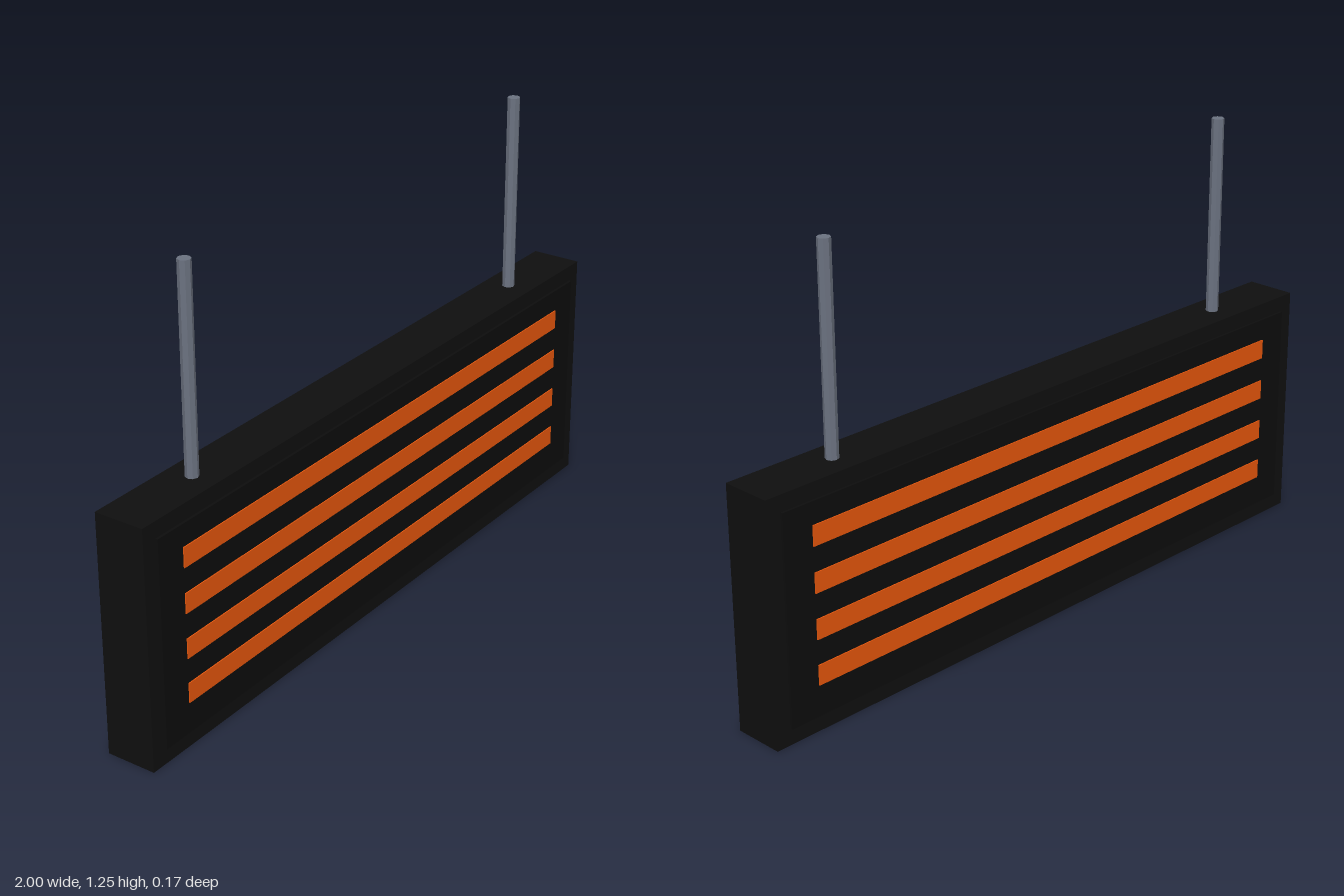
import * as THREE from 'three';

export function createModel() {
  const model = new THREE.Group();
  model.name = 'hangingDisplayBoard';

  const material = (name, color) => {
    const m = new THREE.MeshStandardMaterial({ color });
    m.name = name;
    return m;
  };
  const black = material('casingBlack', 0x0f0f0f);
  const screenBlack = material('screenBlack', 0x0d0d0d);
  const orange = material('displayOrange', 0xea580c);
  const steel = material('rodSteel', 0x6b7280);
  steel.flatShading = true;

  const add = (name, geometry, mat, x, y, z) => {
    const mesh = new THREE.Mesh(geometry, mat);
    mesh.name = name;
    mesh.position.set(x, y, z);
    model.add(mesh);
  };

  // Main casing
  add('casing', new THREE.BoxGeometry(2, 0.682, 0.145), black, 0, 0.341, 0);

  // Raised screen and four lit text rows on both faces
  const screen = new THREE.BoxGeometry(1.91, 0.59, 0.008);
  const row = new THREE.BoxGeometry(1.73, 0.057, 0.004);
  for (const [label, side] of [['front', 1], ['back', -1]]) {
    add(label + 'Screen', screen, screenBlack, 0, 0.341, side * 0.0755);
    for (let i = 0; i < 4; i++) {
      add(label + 'DisplayRow' + (i + 1), row, orange, 0, 0.545 - i * 0.1275, side * 0.0805);
    }
  }

  // Hanging rods
  const rod = new THREE.CylinderGeometry(0.018, 0.018, 0.572, 8);
  for (const [label, side] of [['left', 1], ['right', -1]]) {
    add(label + 'Rod', rod, steel, side * 0.727, 0.966, 0);
  }

  return model;
}
